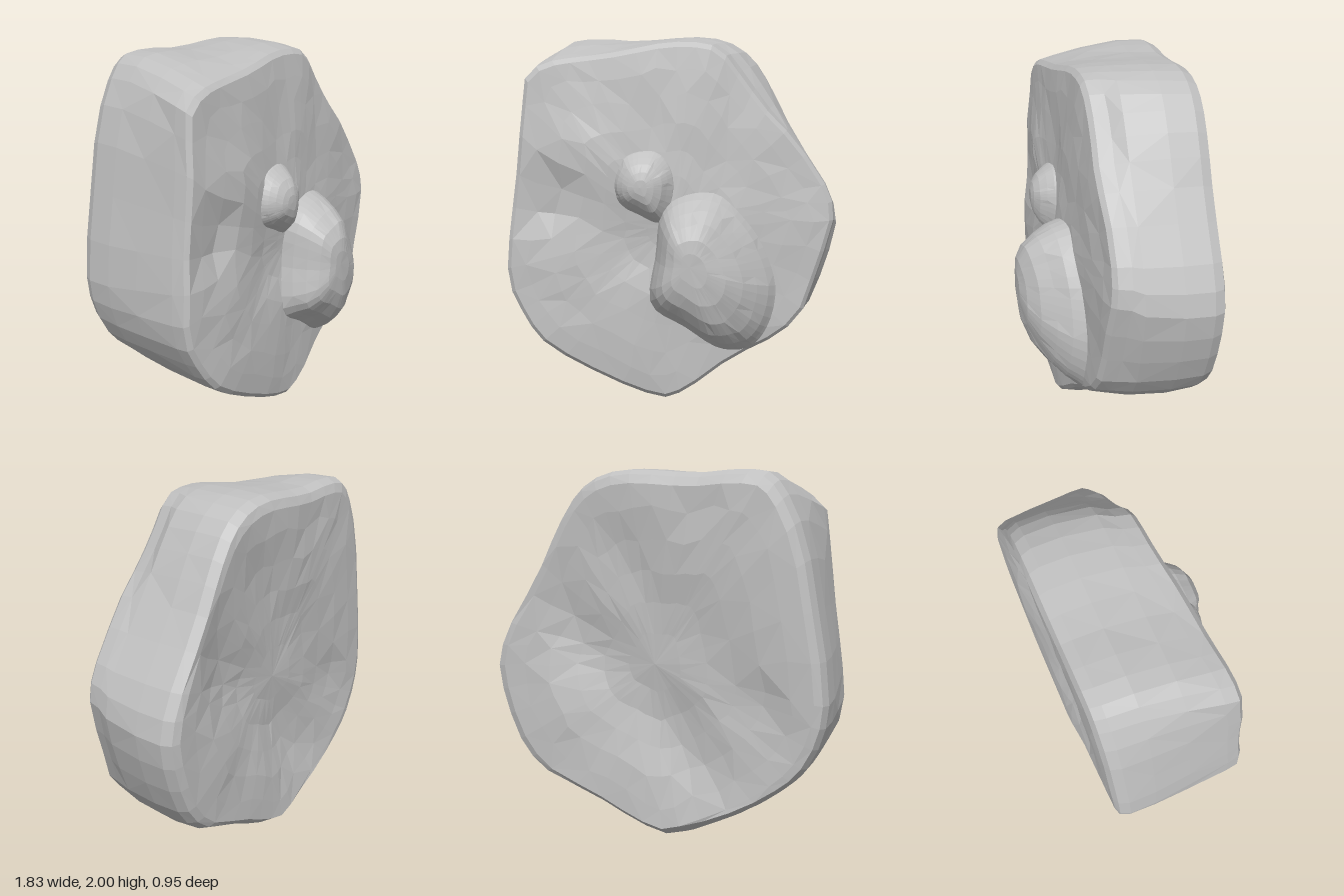
import * as THREE from 'three';

const N = 44; // points around every loop

// matching outline points [front x, front y, back x, back y], counter-clockwise from the bottom
const OUTLINE = [
  [-0.03, 0.02, -0.06, 0.05], [0.1, 0.08, 0.14, 0.12], [0.34, 0.25, 0.36, 0.23], [0.55, 0.36, 0.64, 0.35],
  [0.71, 0.5, 0.78, 0.5], [0.8, 0.76, 0.88, 0.74], [0.88, 1.05, 0.92, 0.97], [0.84, 1.2, 0.85, 1.17],
  [0.66, 1.46, 0.67, 1.46], [0.49, 1.64, 0.56, 1.68], [0.36, 1.81, 0.46, 1.85], [0.24, 1.95, 0.35, 1.95],
  [0.1, 1.98, 0.2, 2.0], [-0.08, 1.97, 0, 2.0], [-0.28, 1.93, -0.22, 1.985], [-0.5, 1.9, -0.45, 2.0],
  [-0.64, 1.88, -0.6, 1.985], [-0.77, 1.81, -0.68, 1.9], [-0.8, 1.6, -0.78, 1.68], [-0.84, 1.25, -0.86, 1.28],
  [-0.88, 0.95, -0.92, 0.86], [-0.89, 0.68, -0.89, 0.66], [-0.81, 0.5, -0.8, 0.48], [-0.71, 0.36, -0.69, 0.37],
  [-0.5, 0.22, -0.49, 0.23], [-0.22, 0.08, -0.24, 0.11],
];

function sampleLoop(points) {
  const curve = new THREE.CatmullRomCurve3(points.map(([x, y]) => new THREE.Vector3(x, y, 0)), true, 'centripetal');
  return Array.from({ length: N }, (_, i) => curve.getPoint(i / N));
}

// repeatable value in -1..1 for uneven facets
function rough(a, b) {
  const v = Math.sin(a * 127.1 + b * 311.7) * 43758.5453;
  return 2 * (v - Math.floor(v)) - 1;
}

const dent = (x, y, cx, cy, r) => Math.exp(-((x - cx) ** 2 + (y - cy) ** 2) / (r * r));

// broad unevenness of the stone
const ripple = (x, y) => 0.007 * Math.sin(9 * x + 4 * y) * Math.cos(8 * y - 5 * x);

// front face: tilted, slightly domed, with shallow hollows
function frontZ(x, y, s) {
  return 0.195 - 0.095 * x - 0.05 * (y - 1) + 0.045 * (1 - s * s) + ripple(x, y)
    + 0.03 * dent(x, y, -0.5, 1.42, 0.24) + 0.02 * dent(x, y, -0.5, 0.4, 0.25)
    - 0.05 * dent(x, y, -0.62, 1.12, 0.15) - 0.04 * dent(x, y, -0.18, 0.85, 0.18);
}

// back face: a stepped diagonal hollow that fades out at the rim
function backZ(x, y, s) {
  const d = (x - y + 1) * 0.707;
  const trough = (at, width) => Math.exp(-(((d - at) / width) ** 2));
  return -0.462 + (1 - s ** 4) * (0.045 * trough(-0.25, 0.2) + 0.085 * trough(0.18, 0.24) + ripple(x, y));
}

// skin joining loops of N points
function loft(rings) {
  const index = [];
  for (let i = 0; i < rings.length - 1; i++) {
    for (let j = 0; j < N; j++) {
      const k = (j + 1) % N;
      const a = i * N + j, b = i * N + k, c = a + N, d = b + N;
      if ((i + j) % 2) index.push(a, b, d, a, d, c);
      else index.push(a, b, c, b, d, c);
    }
  }
  const geo = new THREE.BufferGeometry().setFromPoints(rings.flat());
  geo.setIndex(index);
  geo.computeVertexNormals();
  return geo;
}

function slabGeometry() {
  const front = sampleLoop(OUTLINE);
  const back = sampleLoop(OUTLINE.map((p) => [p[2], p[3]]));
  const centre = new THREE.Vector3(0, 1, 0);
  // one loop scaled by s about the centre, u blends back to front outline
  const ring = (s, u, row, depth) => front.map((f, j) => {
    const p = back[j].clone().lerp(f, u).sub(centre).multiplyScalar(s).add(centre);
    if (s < 0.9) {
      p.x += rough(j, row) * 0.02 * s;
      p.y += rough(j, row + 50) * 0.02 * s;
    }
    p.z = depth(p.x, p.y, s) + (s < 0.9 ? rough(j >> 1, row + 90) * 0.007 * s : 0);
    return p;
  });
  // the underside curves up towards the back and the front
  const rim = (s, u, row, depth, lift) => ring(s, u, row, depth).map((p) => {
    p.y += lift * Math.max(0, 1 - p.y / 0.5);
    return p;
  });
  const rings = [];
  [0, 0.16, 0.32, 0.48, 0.64, 0.8, 0.92].forEach((s, i) => rings.push(ring(s, 0, i, backZ)));
  rings.push(rim(0.965, 0, 10, () => -0.443, 0.04));
  rings.push(rim(0.99, 0, 11, () => -0.39, 0.02));
  rings.push(rim(1, 0.1, 12, () => -0.24, -0.02));
  rings.push(rim(1.003, 0.45, 13, () => -0.04, -0.035));
  rings.push(rim(1.003, 0.85, 14, (x, y) => frontZ(x, y, 1) - 0.09, -0.015));
  [0.997, 0.97, 0.86, 0.72, 0.57, 0.42, 0.28, 0.14, 0]
    .forEach((s, i) => rings.push(ring(s, 1, i + 20, (x, y) => frontZ(x, y, s) - (s > 0.99 ? 0.02 : 0))));
  return loft(rings);
}

// rounded lump rising from the front face to an off-centre peak, steepest on its left-hand flank
function domeGeometry(outline, peak, steepness, softening) {
  const base = sampleLoop(outline);
  return loft([1, 0.96, 0.88, 0.76, 0.6, 0.4, 0.2, 0].map((s, row) => base.map((b, j) => {
    const baseZ = frontZ(b.x, b.y, 0.6) - 0.025;
    const power = steepness - softening * THREE.MathUtils.smoothstep(b.x, 0.15, 0.5);
    const scale = s * (s < 0.9 ? 1 + 0.03 * rough(j >> 2, row) : 1);
    return new THREE.Vector3(
      peak[0] + (b.x - peak[0]) * scale,
      peak[1] + (b.y - peak[1]) * scale,
      peak[2] - (peak[2] - baseZ) * s ** power,
    );
  })));
}

export function createModel() {
  const stone = new THREE.MeshStandardMaterial({ color: 0xc0c0c0, flatShading: true });
  stone.name = 'greyStone';
  const group = new THREE.Group();
  group.name = 'rock';
  const add = (name, geo) => {
    const mesh = new THREE.Mesh(geo, stone);
    mesh.name = name;
    group.add(mesh);
  };

  add('slab', slabGeometry());

  add('largeLump', domeGeometry([
    [0.08, 0.43], [0.28, 0.31], [0.43, 0.32], [0.53, 0.43], [0.58, 0.65], [0.53, 0.85],
    [0.41, 1.05], [0.25, 1.19], [0.06, 1.18], [-0.05, 1.1], [-0.09, 0.85], [-0.11, 0.56],
  ], [0.12, 0.84, 0.48], 3.6, 1.2));

  add('smallKnob', domeGeometry([
    [-0.32, 1.24], [-0.29, 1.12], [-0.18, 1.05], [-0.04, 1.0], [0.03, 1.2],
    [0.01, 1.33], [-0.08, 1.42], [-0.25, 1.39],
  ], [-0.15, 1.23, 0.35], 2.6, 0));

  return group;
}
